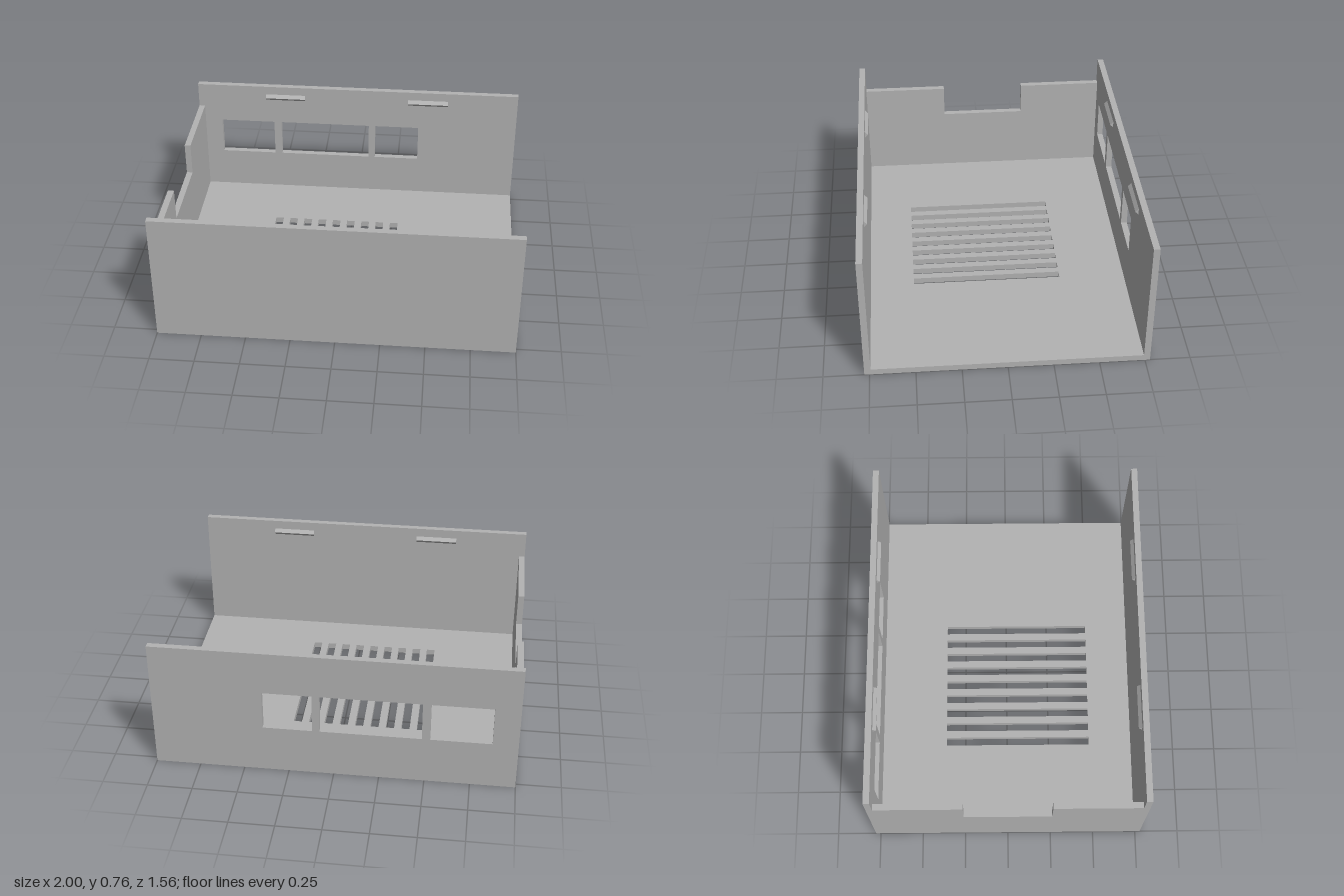
import * as THREE from 'three';

const W = 2, D = 1.556, H = 0.76, T = 0.035; // width, depth, wall height, thickness
const Z = D / 2;

const rect = (Type, x0, y0, x1, y1) => new Type([
  [x0, y0], [x1, y0], [x1, y1], [x0, y1],
].map(([x, y]) => new THREE.Vector2(x, y)));

const extrude = (shape, depth) =>
  new THREE.ExtrudeGeometry(shape, { depth, bevelEnabled: false });

export function createModel() {
  const group = new THREE.Group();
  group.name = 'enclosureBase';
  const grey = new THREE.MeshStandardMaterial({ color: 0xb3b3b3 });
  grey.name = 'light grey';

  const add = (name, geometry) => {
    const mesh = new THREE.Mesh(geometry, grey);
    mesh.name = name;
    group.add(mesh);
    return mesh;
  };

  // Floor with nine ventilation slots (shape y runs along -z)
  const floor = rect(THREE.Shape, -W / 2, -Z + T, W / 2, Z - T);
  for (let i = 0; i < 9; i++) {
    const x = -0.476 + i * 0.0897;
    floor.holes.push(rect(THREE.Path, x, -0.492, x + 0.048, 0.364));
  }
  add('floor', extrude(floor, T).rotateX(-Math.PI / 2));

  // Solid front wall
  add('frontWall', new THREE.BoxGeometry(W, H, T).translate(0, H / 2, Z - T / 2));

  // Back wall with three connector openings
  const back = rect(THREE.Shape, -W / 2, 0, W / 2, H);
  for (const [x0, x1] of [[-0.86, -0.525], [-0.48, 0.077], [0.117, 0.39]]) {
    back.holes.push(rect(THREE.Path, x0, 0.282, x1, 0.51));
  }
  add('backWall', extrude(back, T).translate(0, 0, -Z));

  // Lower end wall with a central notch
  const e = Z - T, n = 0.248, top = 0.608, low = 0.418;
  const end = new THREE.Shape([
    [-e, T], [e, T], [e, top], [n, top], [n, low], [-n, low], [-n, top], [-e, top],
  ].map(([x, y]) => new THREE.Vector2(x, y)));
  add('endWall', extrude(end, T).rotateY(Math.PI / 2).translate(-W / 2, 0, 0));

  // Wedge-shaped snap ridges inside the long walls
  const wedge = new THREE.Shape([
    new THREE.Vector2(0, -0.019), new THREE.Vector2(0.018, 0), new THREE.Vector2(0, 0.019),
  ]);
  const ridge = extrude(wedge, 0.247).translate(0, 0, -0.1235).rotateY(-Math.PI / 2);
  for (const x of [-0.448, 0.445]) {
    for (const side of [-1, 1]) {
      const clip = add(side < 0 ? 'backSnapRidge' : 'frontSnapRidge', ridge);
      clip.position.set(x, 0.688, side * e);
      if (side > 0) clip.rotation.y = Math.PI;
    }
  }
  return group;
}
